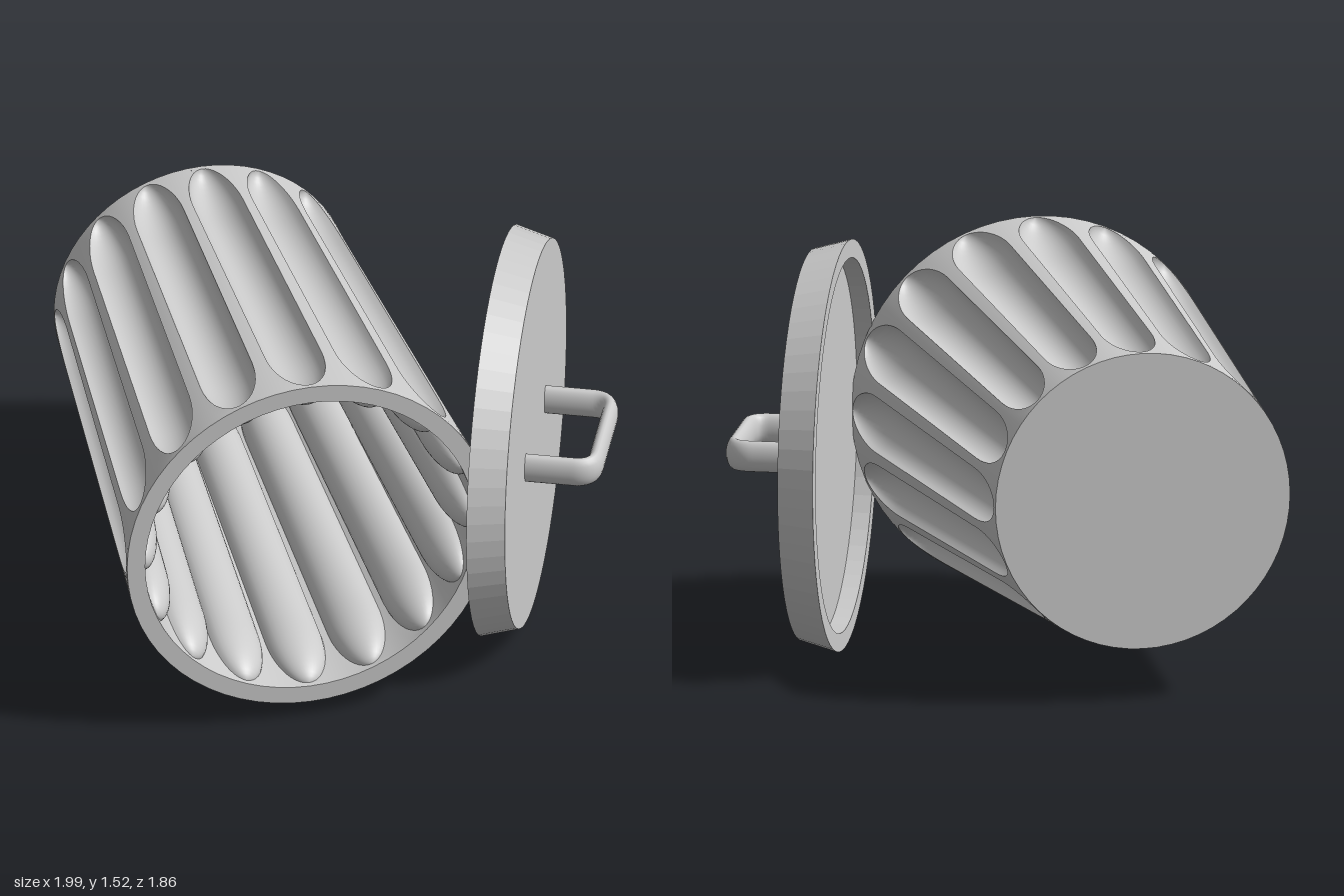
import * as THREE from 'three';
import { mergeGeometries, toCreasedNormals } from 'three/addons/utils/BufferGeometryUtils.js';
import { ParametricGeometry } from 'three/addons/geometries/ParametricGeometry.js';

const material = new THREE.MeshStandardMaterial({ color: 0xcccccc });
const flat = new THREE.MeshStandardMaterial({ color: 0xcccccc, flatShading: true });

// Can dimensions, measured along its own axis from base (0) to mouth (LENGTH)
const LENGTH = 1.72, WALL = 0.068, FLOOR = 0.07;
const FLUTES = 16, STEP = (2 * Math.PI) / FLUTES;
const START = 0.02, END = 1.7;
const outerRadius = (y) => 0.555 + (0.135 * y) / LENGTH;
const innerRadius = (y) => outerRadius(y) - WALL;

// Flute strength: 1 along the middle, easing elliptically to 0 at both ends
function strength(y) {
  const s = THREE.MathUtils.clamp(Math.min(y - START, END - y) / 0.25, 0, 1);
  return Math.sqrt(1 - (1 - s) ** 2);
}
const halfAngle = (y, radius) =>
  ((0.092 + (0.016 * y) / LENGTH) * Math.max(strength(y), 0.002)) / radius(y);

function addMesh(parent, name, geometry, mat = material) {
  const mesh = new THREE.Mesh(geometry, mat);
  mesh.name = name;
  parent.add(mesh);
  return mesh;
}

// Repeats one strip of wall around the axis
function around(strip) {
  const copies = [];
  for (let i = 0; i < FLUTES; i++) copies.push(strip.clone().rotateY(i * STEP));
  return mergeGeometries(copies);
}

// A fluted wall: sunken grooves and the plain lands between them
function addWall(parent, name, radius, depth, from, inward) {
  const height = (v) => from + (END - from) * (0.5 - 0.5 * Math.cos(Math.PI * v));
  const place = (p, r, angle, y) => p.set(r * Math.sin(angle), y, r * Math.cos(angle));
  const groove = new ParametricGeometry((u, v, p) => {
    const y = height(v);
    const a = (inward ? 0.5 - u : u - 0.5) * Math.PI;
    const r = radius(y) - depth * strength(y) * Math.cos(a);
    place(p, r, Math.sin(a) * halfAngle(y, radius), y);
  }, 14, 40);
  const land = new ParametricGeometry((u, v, p) => {
    const y = height(v), w = halfAngle(y, radius);
    place(p, radius(y), w + (inward ? 1 - u : u) * (STEP - 2 * w), y);
  }, 4, 40);
  for (const strip of [groove, land]) strip.computeVertexNormals();
  addMesh(parent, name + 'Flutes', around(groove));
  addMesh(parent, name + 'Lands', around(land));
}

function lathe(points) {
  const profile = points.map(([r, y]) => new THREE.Vector2(r, y));
  return new THREE.LatheGeometry(profile, FLUTES * 4);
}

function createCan() {
  const can = new THREE.Group();
  can.name = 'can';
  addWall(can, 'outer', outerRadius, 0.088, START, false);
  addWall(can, 'inner', innerRadius, 0.078, FLOOR, true);
  addMesh(can, 'base', toCreasedNormals(lathe([
    [0, 0], [outerRadius(0), 0], [outerRadius(START), START],
  ]), 0.5));
  addMesh(can, 'floor', lathe([[innerRadius(FLOOR) + 0.002, FLOOR], [0, FLOOR]]));
  addMesh(can, 'mouthRim', toCreasedNormals(lathe([
    [outerRadius(END), END], [outerRadius(LENGTH), LENGTH],
    [innerRadius(LENGTH), LENGTH], [innerRadius(END), END],
  ]), 0.5));
  // Lying on its side with the mouth to the front
  can.rotation.x = Math.PI / 2;
  can.position.set(-0.31, 0.763, -0.93);
  return can;
}

function createLid() {
  const lid = new THREE.Group();
  lid.name = 'lid';

  // Hollow cap, its outer face at local x = 0
  const cap = addMesh(lid, 'lidCap', lathe([
    [0, -0.07], [0.69, -0.07], [0.69, -0.137], [0.758, -0.137], [0.72, 0], [0, 0],
  ]), flat);
  cap.rotation.z = -Math.PI / 2;

  // Bent handle with an oval section
  const HEIGHT = 0.25, HALF = 0.23, BEND = 0.075;
  const at = (x, z) => new THREE.Vector3(x, 0, z);
  const path = new THREE.CurvePath();
  path.add(new THREE.LineCurve3(at(-0.03, HALF), at(HEIGHT - BEND, HALF)));
  path.add(new THREE.QuadraticBezierCurve3(
    at(HEIGHT - BEND, HALF), at(HEIGHT, HALF), at(HEIGHT, HALF - BEND)));
  path.add(new THREE.LineCurve3(at(HEIGHT, HALF - BEND), at(HEIGHT, BEND - HALF)));
  path.add(new THREE.QuadraticBezierCurve3(
    at(HEIGHT, BEND - HALF), at(HEIGHT, -HALF), at(HEIGHT - BEND, -HALF)));
  path.add(new THREE.LineCurve3(at(HEIGHT - BEND, -HALF), at(-0.03, -HALF)));
  const handle = new THREE.TubeGeometry(path, 64, 0.03, 20).scale(1, 1.93, 1);
  addMesh(lid, 'handle', handle);

  // Leaning upright against the mouth of the can
  lid.rotation.y = -Math.PI / 8;
  lid.position.set(0.665, 0.763, 0.265);
  return lid;
}

export function createModel() {
  const model = new THREE.Group();
  model.name = 'trashCan';
  model.add(createCan(), createLid());
  return model;
}
